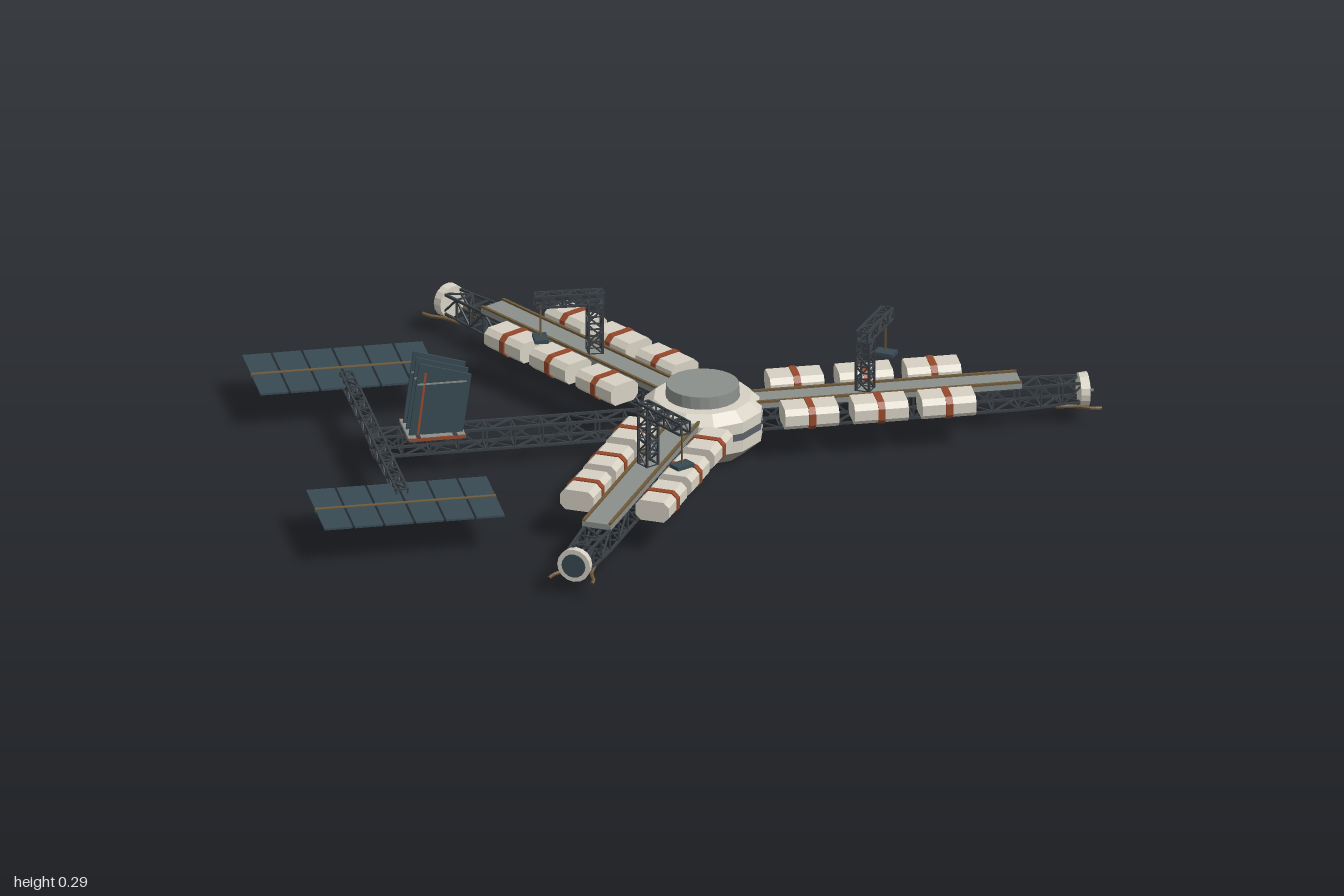
import * as THREE from 'three';
import { mergeGeometries } from 'three/addons/utils/BufferGeometryUtils.js';

const mat = (name, color) => {
  const m = new THREE.MeshStandardMaterial({ color, flatShading: true });
  m.name = name;
  return m;
};

export function createModel() {
  const M = {
    hull: mat('paleHull', 0xd6d1c3),
    belly: mat('warmGrey', 0xa39d91),
    deck: mat('deckGrey', 0x8b8f8b),
    band: mat('slateBand', 0x596167),
    truss: mat('darkTruss', 0x393f44),
    panel: mat('panelBlue', 0x384a53),
    strap: mat('rustStrap', 0x96492c),
    rail: mat('brownRail', 0x6f5b3c),
    seam: mat('seamDark', 0x22292e),
  };
  const root = new THREE.Group();
  root.name = 'spaceStation';

  const add = (parent, name, geo, material, x = 0, y = 0, z = 0) => {
    const m = new THREE.Mesh(geo, material);
    m.name = name;
    m.position.set(x, y, z);
    parent.add(m);
    return m;
  };
  const group = (parent, name, x = 0, y = 0, z = 0) => {
    const g = new THREE.Group();
    g.name = name;
    g.position.set(x, y, z);
    parent.add(g);
    return g;
  };
  const box = (w, h, d) => new THREE.BoxGeometry(w, h, d);

  // Square bar between two points
  const X = new THREE.Vector3(1, 0, 0);
  const bar = (a, b, t) => {
    const d = b.clone().sub(a);
    const g = box(d.length(), t, t);
    g.applyQuaternion(new THREE.Quaternion().setFromUnitVectors(X, d.clone().normalize()));
    const c = a.clone().add(b).multiplyScalar(0.5);
    return g.translate(c.x, c.y, c.z);
  };

  // Four-chord lattice along x, from x0 to x1; s0 and s1 are [halfHeight, halfWidth] at the ends
  const lattice = (x0, x1, s0, s1, bays, t) => {
    const parts = [];
    const corner = (i, k) => {
      const f = i / bays;
      const h = s0[0] + (s1[0] - s0[0]) * f, w = s0[1] + (s1[1] - s0[1]) * f;
      return new THREE.Vector3(x0 + (x1 - x0) * f, k === 0 || k === 1 ? h : -h, k === 0 || k === 3 ? w : -w);
    };
    for (let k = 0; k < 4; k++) {
      const n = (k + 1) % 4;
      parts.push(bar(corner(0, k), corner(bays, k), t));
      for (let i = 0; i <= bays; i++) {
        parts.push(bar(corner(i, k), corner(i, n), t * 0.7));
        if (i < bays) {
          const flip = i % 2 === 0;
          parts.push(bar(corner(i, flip ? k : n), corner(i + 1, flip ? n : k), t * 0.7));
        }
      }
    }
    return mergeGeometries(parts);
  };

  // Octagonal prism along x with chamfered edges
  const chamferedBox = (len, h, d, c) => {
    const a = d / 2, b = h / 2;
    const s = new THREE.Shape([[-a + c, -b], [a - c, -b], [a, -b + c], [a, b - c], [a - c, b], [-a + c, b], [-a, b - c], [-a, -b + c]]
      .map(p => new THREE.Vector2(...p)));
    return new THREE.ExtrudeGeometry(s, { depth: len, bevelEnabled: false }).translate(0, 0, -len / 2).rotateY(Math.PI / 2);
  };

  // Central hub
  const hub = group(root, 'hub', 0.03);
  const lathe = pts => new THREE.LatheGeometry(pts.map(p => new THREE.Vector2(...p)), 12);
  add(hub, 'hubBelly', lathe([[0, 0.004], [0.105, 0.004], [0.148, 0.042]]), M.belly);
  add(hub, 'hubWall', lathe([[0.148, 0.042], [0.148, 0.072]]), M.hull);
  add(hub, 'hubBand', lathe([[0.148, 0.072], [0.148, 0.09]]), M.band);
  add(hub, 'hubShoulder', lathe([[0.148, 0.09], [0.148, 0.118], [0.12, 0.142], [0.08, 0.142]]), M.hull);
  add(hub, 'hubCap', new THREE.CylinderGeometry(0.088, 0.09, 0.033, 24), M.deck, 0, 0.1565, 0);

  // Cargo container with a strap
  const container = (parent, x, z) => {
    const g = group(parent, 'container', x, 0.116, z);
    add(g, 'containerBody', chamferedBox(0.132, 0.052, 0.085, 0.013), M.hull);
    add(g, 'containerStrap', chamferedBox(0.017, 0.057, 0.09, 0.014), M.strap);
    add(g, 'containerBracket', box(0.008, 0.008, 0.04), M.truss, 0, -0.018, -Math.sign(z) * 0.05);
  };

  // Lattice crane with hanging load plate
  const crane = parent => {
    const g = group(parent, 'crane', 0.398, 0.125, 0);
    g.rotation.y = 1.0;
    add(g, 'cranePost', lattice(0, 0.13, [0.017, 0.017], [0.017, 0.017], 4, 0.005).rotateZ(Math.PI / 2), M.truss);
    add(g, 'craneBoom', lattice(-0.02, 0.145, [0.014, 0.014], [0.014, 0.014], 5, 0.005), M.truss, 0, 0.142, 0);
    add(g, 'craneCable', box(0.004, 0.09, 0.004), M.rail, 0.132, 0.087, 0);
    add(g, 'craneLoad', box(0.034, 0.009, 0.05), M.panel, 0.132, 0.042, 0);
  };

  // Three identical arms around the hub
  for (let i = 0; i < 3; i++) {
    const arm = group(hub, 'arm');
    arm.rotation.y = i * Math.PI * 2 / 3;
    add(arm, 'armDeck', box(0.655, 0.014, 0.074), M.deck, 0.4475, 0.118, 0);
    for (const s of [-1, 1]) {
      add(arm, 'deckRail', box(0.655, 0.006, 0.007), M.rail, 0.4475, 0.127, s * 0.0335);
      for (const x of [0.243, 0.413, 0.579]) container(arm, x, s * 0.096);
      const prong = new THREE.CatmullRomCurve3([[0.86, 0.026], [0.91, 0.034], [0.945, 0.052], [0.968, 0.055]]
        .map(([x, z]) => new THREE.Vector3(x, 0.052, s * z)));
      add(arm, 'dockingProng', new THREE.TubeGeometry(prong, 8, 0.0045, 5), M.rail);
    }
    add(arm, 'armTruss', lattice(0.12, 0.77, [0.028, 0.032], [0.028, 0.032], 10, 0.006), M.truss, 0, 0.082, 0);
    add(arm, 'armTipTruss', lattice(0.77, 0.93, [0.028, 0.032], [0.025, 0.024], 3, 0.006), M.truss, 0, 0.082, 0);
    const cyl = (r0, r1, h) => new THREE.CylinderGeometry(r1, r0, h, 16).rotateZ(-Math.PI / 2);
    add(arm, 'dockingCollar', cyl(0.04, 0.042, 0.022), M.hull, 0.932, 0.082, 0);
    add(arm, 'dockingHatch', cyl(0.03, 0.03, 0.004), M.panel, 0.944, 0.082, 0);
    crane(arm);
  }

  // Rear boom and its cross beam
  add(root, 'rearBoom', lattice(-0.78, -0.09, [0.026, 0.026], [0.026, 0.026], 10, 0.006), M.truss, 0, 0.08, 0);
  add(root, 'crossBeam', lattice(-0.36, 0.36, [0.014, 0.014], [0.014, 0.014], 16, 0.005).rotateY(Math.PI / 2), M.truss, -0.775, 0.1, 0);
  add(root, 'boomMast', box(0.006, 0.08, 0.006), M.truss, -0.777, 0.095, 0);

  // Solar wings with strips, seams and a spar
  for (const s of [-1, 1]) {
    const wing = group(root, 'solarWing', -0.777, 0.1, s * 0.413);
    for (let i = 0; i < 6; i++) add(wing, 'solarStrip', box(0.069, 0.005, 0.238), M.panel, (i - 2.5) * 0.0746, 0, 0);
    add(wing, 'solarBacking', box(0.44, 0.003, 0.236), M.seam);
    add(wing, 'solarSpar', box(0.444, 0.009, 0.009), M.rail);
  }

  // Radiator bank on the rear boom
  const bank = group(root, 'radiatorBank', -0.632, 0.108, 0);
  add(bank, 'radiatorBase', box(0.14, 0.008, 0.12), M.deck);
  for (const z of [-0.061, 0.061]) add(bank, 'radiatorSill', box(0.14, 0.008, 0.004), M.strap, 0, 0, z);
  for (const x of [-0.045, 0.045]) add(bank, 'radiatorBeam', box(0.01, 0.012, 0.124), M.truss, x, 0, 0);
  for (const z of [-0.038, 0, 0.038]) {
    const fin = group(bank, 'radiatorFin', 0, 0, z);
    const outline = new THREE.Shape([[-0.066, 0], [0.066, 0], [0.088, 0.152], [-0.04, 0.19]].map(p => new THREE.Vector2(...p)));
    add(fin, 'radiatorPanel', new THREE.ExtrudeGeometry(outline, { depth: 0.006, bevelEnabled: false }), M.panel, 0, 0, -0.003);
    add(fin, 'radiatorPipe', box(0.12, 0.004, 0.009), M.deck, 0.015, 0.136, 0);
    add(fin, 'radiatorStem', box(0.006, 0.16, 0.009), M.strap, -0.034, 0.085, 0).rotation.z = -0.12;
  }
  return root;
}
